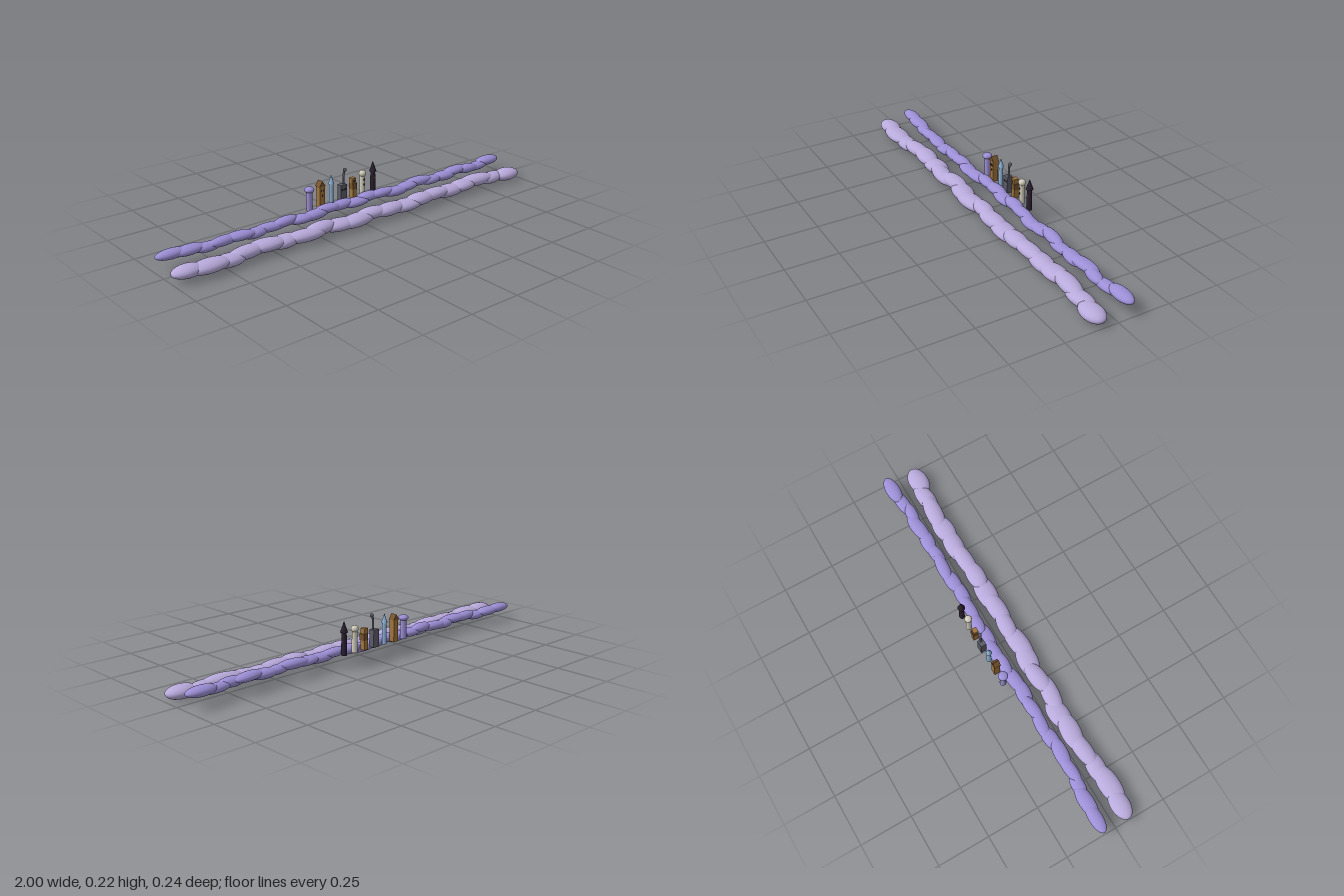
import * as THREE from 'three';

const paint = (name, color) => {
  const m = new THREE.MeshStandardMaterial({ color });
  m.name = name;
  return m;
};

export function createModel() {
  const mat = {
    paleLilac: paint('pale lilac', 0xb8aadb),
    violet: paint('violet', 0x9c8fd6),
    brown: paint('brown', 0xa0743c),
    darkBrown: paint('dark brown', 0x76532d),
    blue: paint('light blue', 0x8fb3d9),
    slate: paint('slate', 0x5c5c68),
    ivory: paint('ivory', 0xd2cebc),
    black: paint('black', 0x2a2030),
    glass: paint('dark window', 0x33261f),
  };
  const model = new THREE.Group();
  model.name = 'cloudCity';

  const add = (parent, name, geometry, material, x, y, z = 0) => {
    const mesh = new THREE.Mesh(geometry, material);
    mesh.name = name;
    mesh.position.set(x, y, z);
    parent.add(mesh);
    return mesh;
  };

  // Cloud banks: rows of overlapping flattened puffs, z given per puff
  const puff = new THREE.SphereGeometry(1, 28, 18);
  const cloudBank = (name, material, zs, y, size) => {
    const bank = new THREE.Group();
    bank.name = name;
    const last = zs.length - 1;
    zs.forEach((z, i) => {
      const end = i === 0 || i === last;
      const rx = end ? 0.075 : size[0] * (1 + 0.14 * Math.sin(i * 2.3));
      const x = -0.925 + (1.85 * i) / last;
      const m = add(bank, 'puff', puff, material, x, y + 0.006 * Math.sin(i * 1.9 + 1), z);
      m.scale.set(rx, size[1] * (1 + 0.08 * Math.sin(i * 3.1)), size[2] * (1 + 0.1 * Math.sin(i * 1.7)));
      m.rotation.y = end ? 0 : 0.12 * Math.sin(i * 2.9);
    });
    model.add(bank);
  };
  cloudBank('frontCloudBank', mat.paleLilac,
    [0.065, 0.072, 0.065, 0.056, 0.052, 0.05, 0.066, 0.055, 0.06, 0.068,
      0.06, 0.067, 0.065, 0.065, 0.06, 0.055, 0.055, 0.055, 0.062, 0.075],
    0.038, [0.095, 0.028, 0.045]);
  cloudBank('backCloudBank', mat.violet,
    [-0.064, -0.06, -0.052, -0.046, -0.043, -0.046, -0.05, -0.047, -0.043, -0.046, -0.052, -0.058,
      -0.052, -0.058, -0.05, -0.044, -0.05, -0.055, -0.047, -0.05, -0.055, -0.047, -0.055, -0.064],
    0.068, [0.076, 0.0215, 0.032]);

  // Towers share one foot height and stand in a row behind the clouds
  const FOOT = 0.065;
  const tower = (name, x) => {
    const g = new THREE.Group();
    g.name = name;
    g.position.set(x, FOOT, -0.098);
    model.add(g);
    return g;
  };
  const cyl = (g, name, m, rTop, rBottom, y0, y1) =>
    add(g, name, new THREE.CylinderGeometry(rTop, rBottom, y1 - y0, 24), m, 0, (y0 + y1) / 2);
  const box = (g, name, m, w, d, y0, y1, x = 0, z = 0) =>
    add(g, name, new THREE.BoxGeometry(w, y1 - y0, d), m, x, (y0 + y1) / 2, z);
  const ball = (g, name, m, r, ry, x, y) => {
    const b = add(g, name, new THREE.SphereGeometry(1, 20, 14), m, x, y);
    b.scale.set(r, ry, r);
  };
  const windows = (g, m, z, spots) => spots.forEach(([x, y]) =>
    add(g, 'window', new THREE.BoxGeometry(0.006, 0.009, 0.003), m, x, y, z));

  // Mushroom tower
  const mushroom = tower('mushroomTower', -0.19);
  cyl(mushroom, 'stem', mat.violet, 0.014, 0.015, 0, 0.095);
  ball(mushroom, 'cap', mat.violet, 0.023, 0.014, 0, 0.1);

  // Gabled house
  const house = tower('gabledHouse', -0.126);
  box(house, 'walls', mat.brown, 0.028, 0.028, 0, 0.105);
  const gable = new THREE.Shape([[-0.018, 0], [0.018, 0], [0, 0.026]].map(p => new THREE.Vector2(...p)));
  add(house, 'roof', new THREE.ExtrudeGeometry(gable, { depth: 0.032, bevelEnabled: false }),
    mat.darkBrown, 0, 0.104, -0.016);
  windows(house, mat.glass, 0.0145, [[-0.006, 0.085], [0.006, 0.085], [0, 0.06]]);

  // Slim spire
  const spire = tower('slimSpire', -0.064);
  cyl(spire, 'shaft', mat.blue, 0.01, 0.011, 0, 0.102);
  cyl(spire, 'roof', mat.blue, 0, 0.014, 0.1, 0.145);

  // Workshop with a bent chimney
  const works = tower('workshop', 0);
  box(works, 'walls', mat.slate, 0.034, 0.028, 0, 0.082);
  const pipe = new THREE.CatmullRomCurve3([[0.008, 0.07], [0.008, 0.12], [0.011, 0.138], [0.016, 0.148]]
    .map(([x, y]) => new THREE.Vector3(x, y, 0)));
  add(works, 'chimney', new THREE.TubeGeometry(pipe, 16, 0.005, 10), mat.slate, 0, 0);
  ball(works, 'chimneyBall', mat.slate, 0.009, 0.009, 0.016, 0.15);
  windows(works, mat.glass, 0.0145, [[-0.008, 0.06], [0.006, 0.06]]);

  // Crooked stack of blocks
  const stack = tower('blockTower', 0.064);
  box(stack, 'lowerBlock', mat.brown, 0.022, 0.026, 0, 0.045);
  box(stack, 'middleBlock', mat.darkBrown, 0.026, 0.028, 0.045, 0.075, 0.002);
  box(stack, 'upperBlock', mat.brown, 0.024, 0.024, 0.075, 0.1, -0.002);
  windows(stack, mat.glass, 0.0125, [[-0.002, 0.086]]);

  // Domed tower
  const dome = tower('domedTower', 0.122);
  cyl(dome, 'shaft', mat.ivory, 0.0125, 0.0135, 0, 0.1);
  ball(dome, 'dome', mat.ivory, 0.0175, 0.016, 0, 0.108);
  windows(dome, mat.glass, 0.0125, [[0, 0.08], [0, 0.055]]);

  // Dark tower
  const dark = tower('darkTower', 0.186);
  cyl(dark, 'shaft', mat.black, 0.0115, 0.0135, 0, 0.108);
  cyl(dark, 'roof', mat.black, 0, 0.0175, 0.105, 0.156);
  windows(dark, mat.brown, 0.0115, [[0, 0.075]]);

  return model;
}
